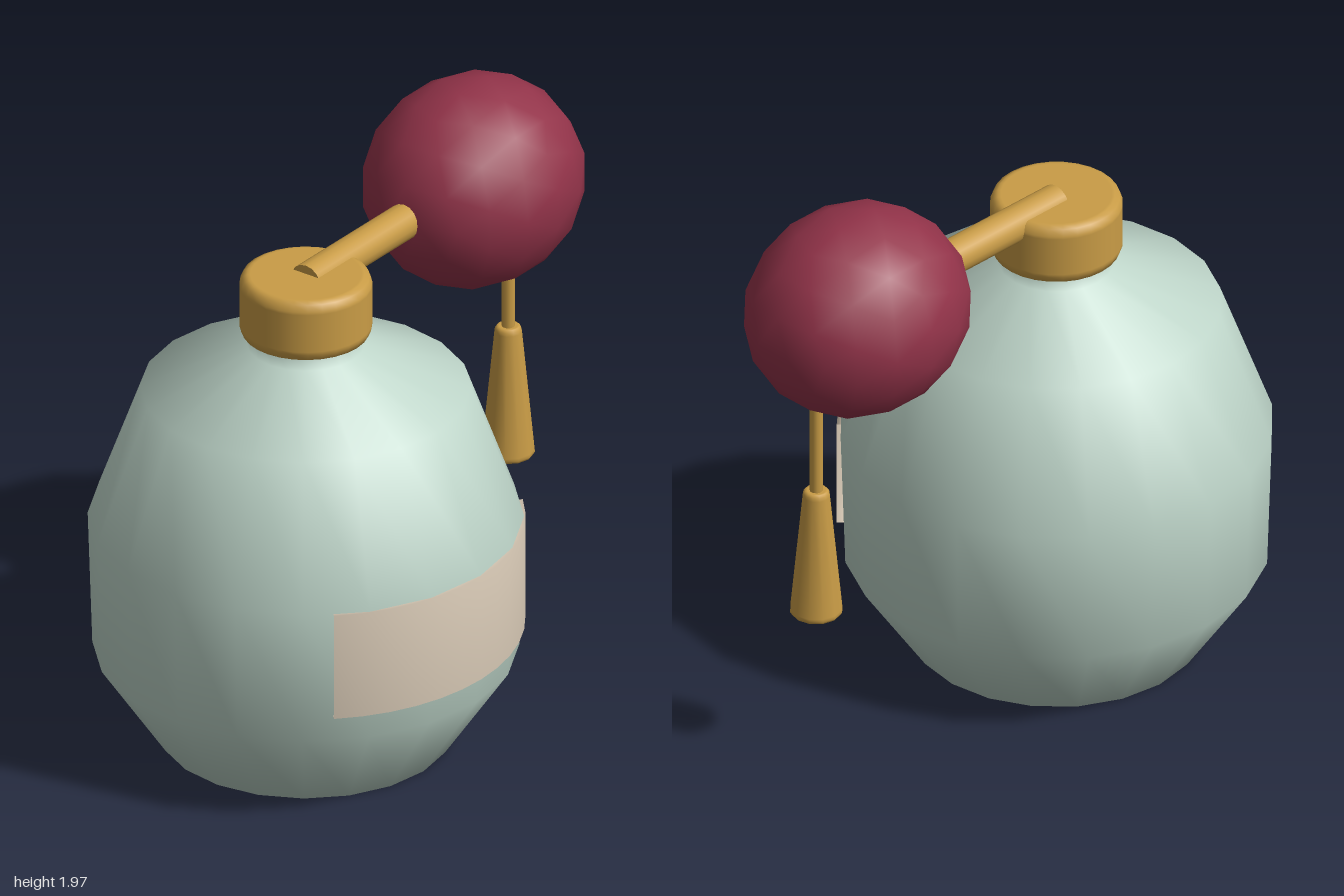
import * as THREE from 'three';

const paint = (name, color) => {
  const m = new THREE.MeshStandardMaterial({ color });
  m.name = name;
  return m;
};

export function createModel() {
  const glass = paint('pale green glass', 0xbdd4c8);
  const gold = paint('gold', 0xc99c46);
  const red = paint('dark red', 0x923349);
  const cream = paint('cream', 0xdccdb9);

  const model = new THREE.Group();
  model.name = 'perfumeAtomizer';
  const add = (name, geometry, material, x = 0, y = 0, parent = model) => {
    const mesh = new THREE.Mesh(geometry, material);
    mesh.name = name;
    mesh.position.set(x, y, 0);
    parent.add(mesh);
    return mesh;
  };
  const lathe = (points, sides, start = 0, sweep = Math.PI * 2) =>
    new THREE.LatheGeometry(points.map(([r, y]) => new THREE.Vector2(r, y)), sides, start, sweep);

  const axisX = -0.295;

  // Faceted bottle with shoulder and neck
  add('bottle', lathe([
    [0, 0], [0.475, 0], [0.69, 0.32], [0.705, 0.79],
    [0.535, 1.255], [0.19, 1.41], [0.187, 1.5],
  ], 20), glass, axisX);

  // Curved label wrapped round the front
  const label = add('label', lathe([
    [0.68, 0.41], [0.71, 0.41], [0.71, 0.785], [0.68, 0.785],
  ], 12, -0.8, 1.6), cream, axisX);
  label.material.side = THREE.DoubleSide;

  // Cap with rounded rims
  add('cap', lathe([
    [0, 1.45], [0.18, 1.45], [0.19, 1.45], [0.206, 1.458], [0.215, 1.48], [0.215, 1.49],
    [0.215, 1.625], [0.215, 1.635], [0.206, 1.657], [0.19, 1.665], [0.18, 1.665], [0, 1.665],
  ], 28), gold, axisX);

  // Spray tube from the cap to the bulb
  const tube = add('tube', new THREE.CylinderGeometry(0.06, 0.06, 0.6, 16), gold, axisX + 0.3, 1.635);
  tube.rotation.z = Math.PI / 2;

  // Squeeze bulb
  const bulb = add('bulb', new THREE.IcosahedronGeometry(0.35, 2), red, 0.61, 1.63);
  bulb.scale.x = 1.12;

  // Hanging tassel
  const tassel = new THREE.Group();
  tassel.name = 'tassel';
  tassel.position.x = 0.797;
  model.add(tassel);
  add('cord', new THREE.CylinderGeometry(0.022, 0.022, 0.37, 10), gold, 0, 1.185, tassel);
  add('tasselSkirt', lathe([
    [0, 0.555], [0.07, 0.555], [0.082, 0.556], [0.087, 0.565], [0.086, 0.575],
    [0.045, 1.0], [0.043, 1.012], [0.037, 1.02], [0.03, 1.02], [0, 1.02],
  ], 12), gold, 0, 0, tassel);

  return model;
}
